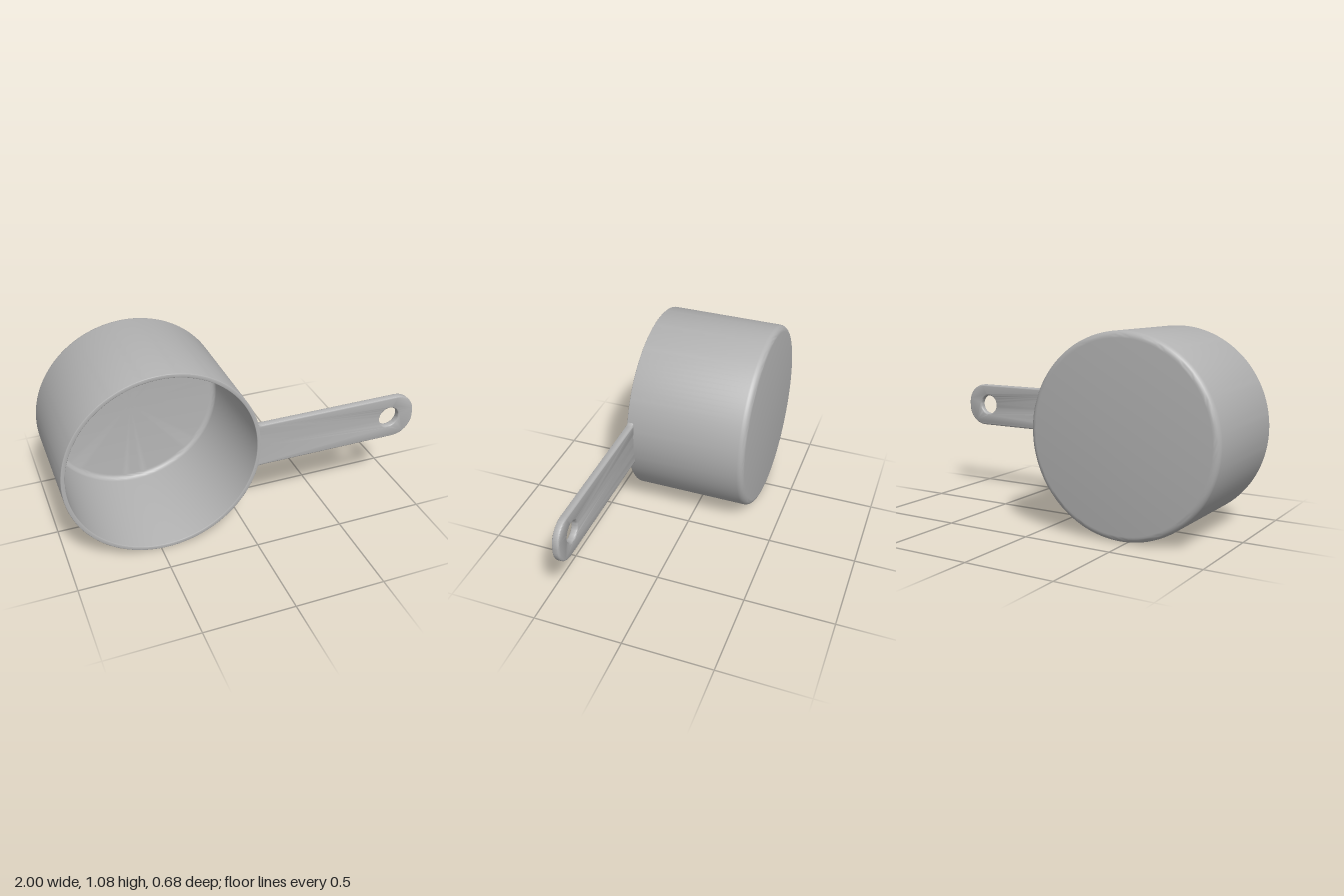
import * as THREE from 'three';
import { toCreasedNormals } from 'three/addons/utils/BufferGeometryUtils.js';

const CX = -0.462, CY = 0.541; // axis of the cup
const R = 0.538, WALL = 0.023, HALF_DEPTH = 0.341;

// Quarter-round profile points about (cx, cy), from angle a to angle b
function arc(cx, cy, r, a, b, n = 6) {
  return Array.from({ length: n + 1 }, (_, i) => {
    const t = a + (b - a) * i / n;
    return new THREE.Vector2(cx + r * Math.cos(t), cy + r * Math.sin(t));
  });
}

// Hollow cup with rounded bottom edges, opening towards +z
function cupGeometry() {
  const H = HALF_DEPTH, q = Math.PI / 2, inner = R - WALL, rim = 0.004;
  const profile = [
    new THREE.Vector2(0, -H),
    ...arc(R - 0.035, -H + 0.035, 0.035, -q, 0),
    ...arc(R - rim, H - rim, rim, 0, q, 3),
    ...arc(inner + rim, H - rim, rim, q, 2 * q, 3),
    ...arc(inner - 0.03, -H + WALL + 0.03, 0.03, 0, -q),
    new THREE.Vector2(0, -H + WALL),
  ];
  return toCreasedNormals(new THREE.LatheGeometry(profile, 112).rotateX(q), 0.6);
}

// Flat handle with filleted root, rounded tip and hanging hole
function handleGeometry() {
  const h = 0.129, tip = 1 - CX, r = 0.118, rootR = R - 0.014;
  const a = Math.asin(0.152 / rootR);
  const rootX = rootR * Math.cos(a), edgeX = Math.sqrt(R * R - h * h);
  const s = new THREE.Shape();
  s.moveTo(rootX, -0.152);
  s.quadraticCurveTo(edgeX, -h, edgeX + 0.03, -h);
  s.lineTo(tip - r, -h);
  s.absarc(tip - r, -h + r, r, -Math.PI / 2, 0, false);
  s.lineTo(tip, h - r);
  s.absarc(tip - r, h - r, r, 0, Math.PI / 2, false);
  s.lineTo(edgeX + 0.03, h);
  s.quadraticCurveTo(edgeX, h, rootX, 0.152);
  s.absarc(0, 0, rootR, a, -a, true);

  const hole = new THREE.Path();
  hole.absarc(0.848 - CX, 0.003, 0.058, 0, Math.PI * 2, true);
  s.holes.push(hole);

  const thickness = 0.039, bevel = 0.01;
  const g = new THREE.ExtrudeGeometry(s, {
    depth: thickness - 2 * bevel, curveSegments: 20,
    bevelEnabled: true, bevelThickness: bevel, bevelSize: bevel,
    bevelOffset: -bevel, bevelSegments: 4,
  });
  g.translate(0, 0, HALF_DEPTH - thickness + bevel);
  return toCreasedNormals(g, 0.6);
}

export function createModel() {
  const group = new THREE.Group();
  group.name = 'measuringCup';
  const grey = new THREE.MeshStandardMaterial({ color: 0xb2b2b2 });
  grey.name = 'grey';

  for (const [name, geometry] of [['cup', cupGeometry()], ['handle', handleGeometry()]]) {
    const mesh = new THREE.Mesh(geometry, grey);
    mesh.name = name;
    mesh.position.set(CX, CY, 0);
    group.add(mesh);
  }
  return group;
}
